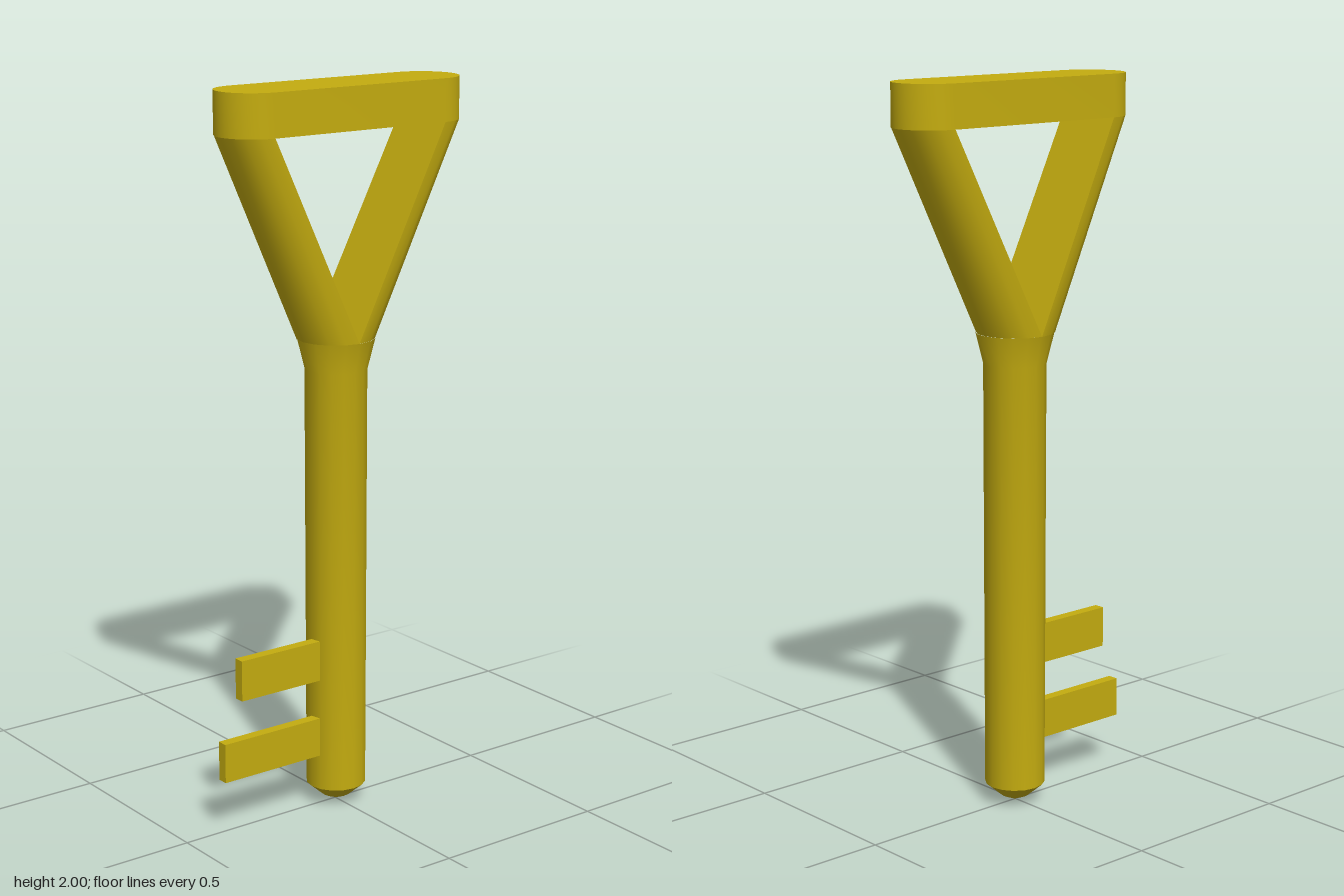
import * as THREE from 'three';
import { toCreasedNormals } from 'three/addons/utils/BufferGeometryUtils.js';

const BAR_Y = 1.885, FORK_Y = 1.325;
const END_LEFT = 0.29, END_RIGHT = -0.263;

// Arm of the fork: D-shaped section, round outside and flat inside
function armGeometry(side, topX) {
  const arc = 8, n = arc + 1;
  const positions = [], index = [];
  for (const [cx, y, r] of [[0, FORK_Y, 0.106], [topX, BAR_Y, 0.1]]) {
    for (let i = 0; i < n; i++) {
      const a = side * (i / arc - 0.5) * Math.PI;
      positions.push(cx + side * r * Math.cos(a), y, r * Math.sin(a));
    }
  }
  for (let i = 0; i < n; i++) {
    const j = (i + 1) % n;
    index.push(j, i, n + i, j, n + i, n + j);
  }
  const g = new THREE.BufferGeometry();
  g.setAttribute('position', new THREE.Float32BufferAttribute(positions, 3));
  g.setIndex(index);
  return toCreasedNormals(g, 0.6);
}

export function createModel() {
  const model = new THREE.Group();
  model.name = 'key';
  const material = new THREE.MeshStandardMaterial({ color: 0xc4ac10 });
  const add = (name, geometry) => {
    const mesh = new THREE.Mesh(geometry, material);
    mesh.name = name;
    model.add(mesh);
    return mesh;
  };

  // Round shaft with a blunt tip, flaring into the fork
  const profile = [[0, 0], [0.04, 0.018], [0.083, 0.055], [0.085, 1.24], [0.106, FORK_Y]]
    .map(([x, y]) => new THREE.Vector2(x, y));
  add('shaft', toCreasedNormals(new THREE.LatheGeometry(profile, 16), 0.6)).position.x = 0.002;

  // Two arms spreading up to the bar
  add('leftArm', armGeometry(1, END_LEFT));
  add('rightArm', armGeometry(-1, END_RIGHT));

  // Top bar with rounded ends
  const outline = new THREE.Shape();
  outline.absarc(END_LEFT, 0, 0.1, -Math.PI / 2, Math.PI / 2);
  outline.absarc(END_RIGHT, 0, 0.1, Math.PI / 2, Math.PI * 1.5);
  const bar = new THREE.ExtrudeGeometry(outline, {
    depth: 2 - BAR_Y, bevelEnabled: false, curveSegments: 8,
  });
  bar.rotateX(-Math.PI / 2);
  add('topBar', toCreasedNormals(bar, 0.6)).position.y = BAR_Y;

  // Flat teeth on the right side
  for (const [name, tip, y0, y1] of [['lowerTooth', -0.392, 0.155, 0.265], ['upperTooth', -0.335, 0.376, 0.49]]) {
    const root = -0.072;
    add(name, new THREE.BoxGeometry(root - tip, y1 - y0, 0.03))
      .position.set((root + tip) / 2, (y0 + y1) / 2, 0.015);
  }
  return model;
}
